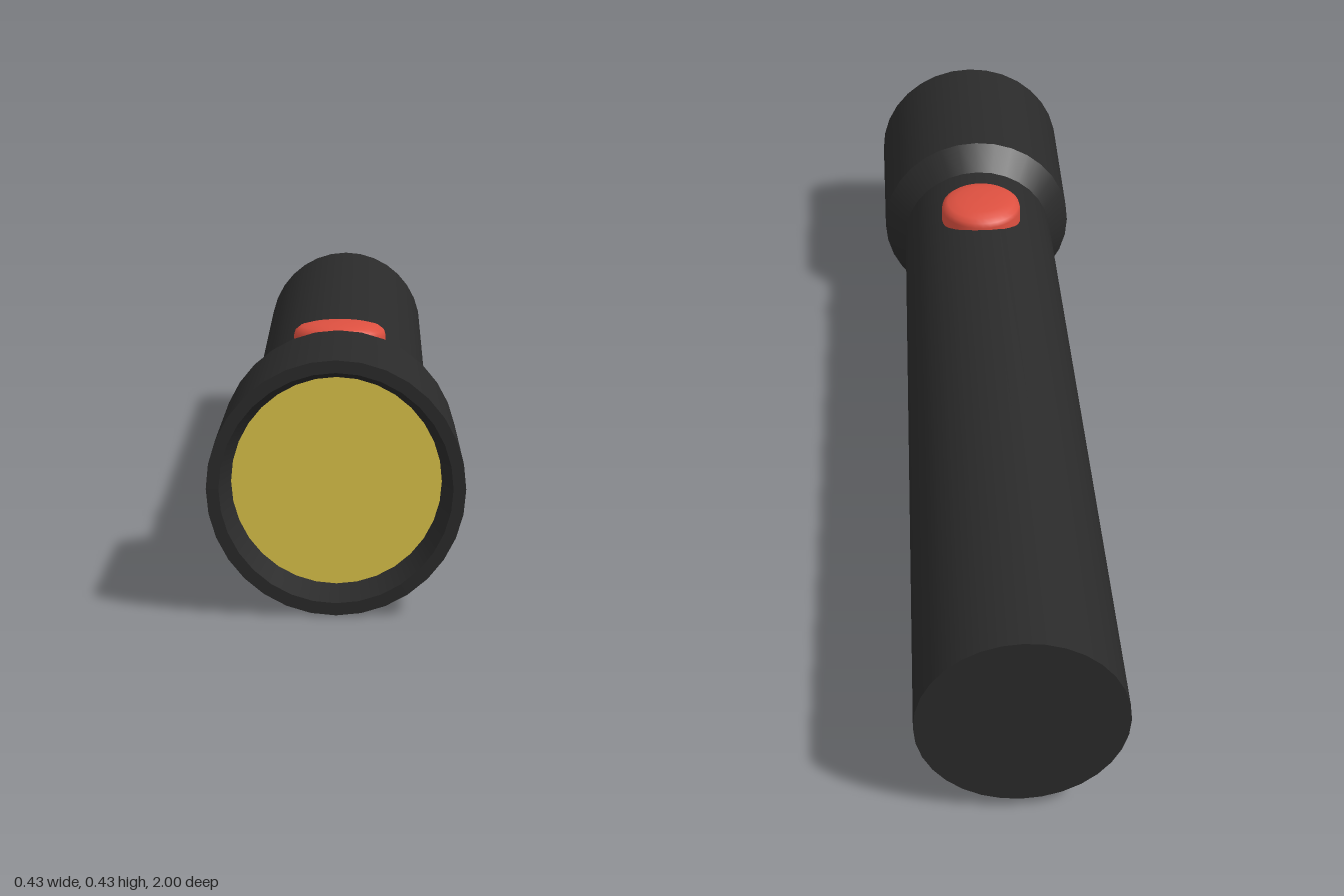
import * as THREE from 'three';
import { mergeGeometries } from 'three/addons/utils/BufferGeometryUtils.js';

const AXIS_Y = 0.216; // height of the torch's centre line
const SIDES = 32;

// Turns a profile of [radius, z] points about the z axis.
// Each span is its own lathe, so edges between spans stay sharp.
function turned(profile) {
  const spans = [];
  for (let i = 0; i < profile.length - 1; i++) {
    const pts = [profile[i], profile[i + 1]].map(([r, z]) => new THREE.Vector2(r, z));
    spans.push(new THREE.LatheGeometry(pts, SIDES));
  }
  return mergeGeometries(spans).rotateX(Math.PI / 2).translate(0, AXIS_Y, 0);
}

function part(name, geometry, color) {
  const mesh = new THREE.Mesh(geometry, new THREE.MeshStandardMaterial({ color }));
  mesh.name = name;
  return mesh;
}

export function createModel() {
  const group = new THREE.Group();
  group.name = 'flashlight';
  const black = 0x2a2a2a;

  // Closed tail and handle, narrowing towards the head
  group.add(part('handle', turned([[0, -1], [0.192, -1], [0.17, 0.585]]), black));

  // Flared collar, head barrel, flat rim and sloping inner wall
  group.add(part('head', turned([
    [0.17, 0.585], [0.216, 0.64], [0.216, 1], [0.195, 1], [0.178, 0.935],
  ]), black));

  // Recessed lens
  group.add(part('lens', turned([[0.178, 0.935], [0, 0.935]]), 0xdcc449));

  // Round switch with a softly domed top, sunk into the handle
  const dome = [[0.088, 0.33], [0.088, 0.36], [0.088, 0.393], [0.085, 0.403],
    [0.075, 0.411], [0.055, 0.416], [0.03, 0.419], [0, 0.42]];
  const button = new THREE.LatheGeometry(dome.map(([r, y]) => new THREE.Vector2(r, y)), SIDES);
  button.translate(0, 0, 0.42);
  group.add(part('switchButton', button, 0xdd5040));

  return group;
}
